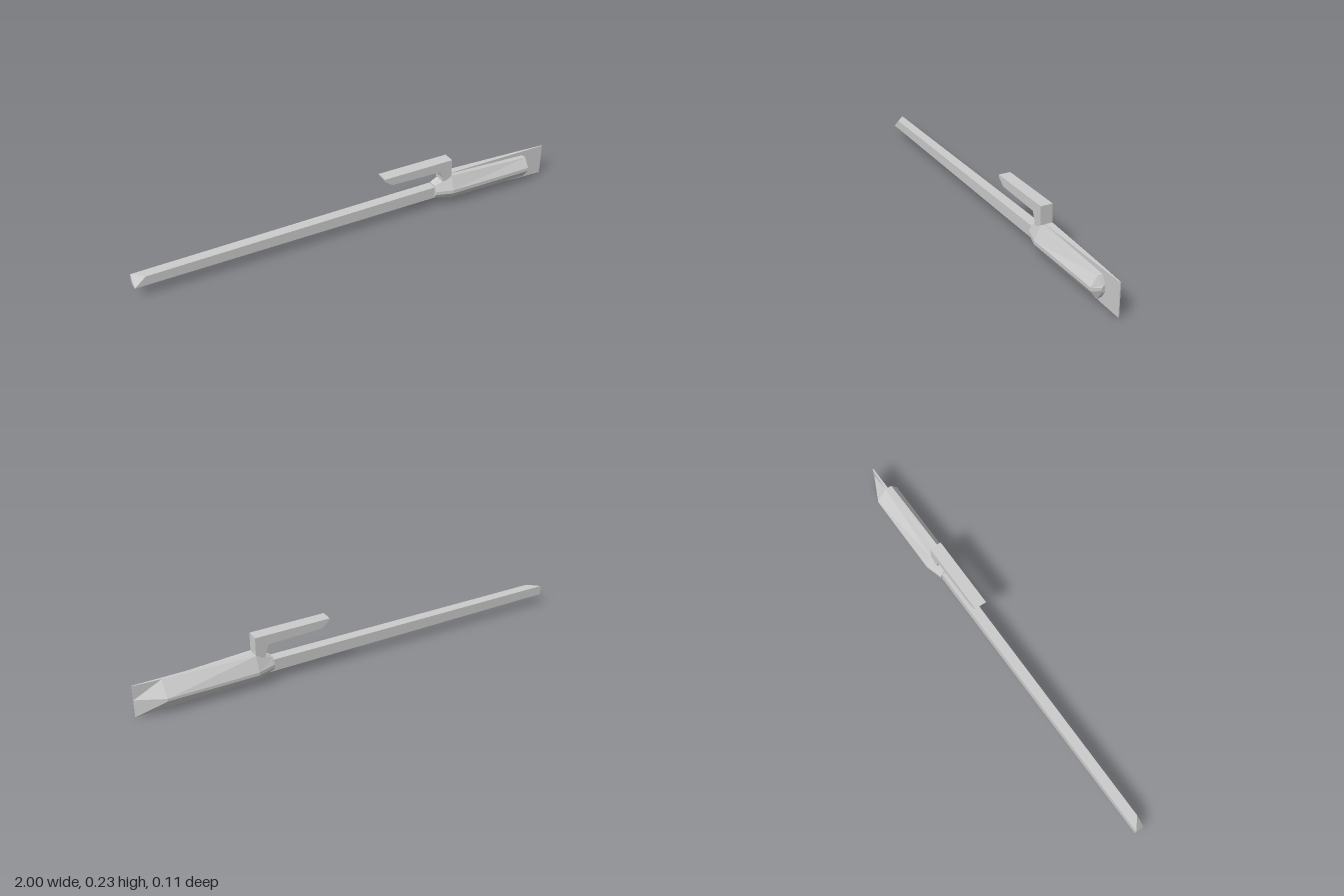
import * as THREE from 'three';

const material = new THREE.MeshStandardMaterial({ color: 0xcccccc, flatShading: true, side: THREE.DoubleSide });

// Skins a row of cross-sections, each given as corners [x, y, z], and caps both ends.
function loft(name, sections) {
  const n = sections[0].length;
  const last = (sections.length - 1) * n;
  const index = [];
  for (let i = 0; i < sections.length - 1; i++) {
    for (let j = 0; j < n; j++) {
      const a = i * n + j, b = i * n + (j + 1) % n;
      index.push(a, a + n, b + n, a, b + n, b);
    }
  }
  for (let j = 1; j < n - 1; j++) {
    index.push(0, j, j + 1);
    index.push(last, last + j + 1, last + j);
  }
  const geometry = new THREE.BufferGeometry();
  geometry.setAttribute('position', new THREE.Float32BufferAttribute(sections.flat(2), 3));
  geometry.setIndex(index);
  const flat = geometry.toNonIndexed();
  flat.computeVertexNormals();
  const mesh = new THREE.Mesh(flat, material);
  mesh.name = name;
  return mesh;
}

// Places a [y, z] outline at a given x.
const at = (x, outline) => outline.map(([y, z]) => [x, y, z]);

export function createModel() {
  const group = new THREE.Group();

  // Long square bar with one corner of its tip cut off
  group.add(loft('longBar', [
    [[-1, 0.055, 0.02], [-0.95, 0.098, 0.02], [-1, 0.098, -0.024], [-1, 0.055, -0.024]],
    at(0.42, [[0.05, 0.02], [0.105, 0.02], [0.105, -0.027], [0.05, -0.027]]),
  ]));

  // Front shell of the grip, faceted with a blunt end
  group.add(loft('frontGripShell', [
    at(0.4, [[0.05, 0], [0.05, 0.02], [0.07, 0.032], [0.085, 0.032], [0.112, 0.02], [0.112, 0]]),
    at(0.48, [[0.032, 0], [0.03, 0.028], [0.068, 0.055], [0.085, 0.055], [0.146, 0.028], [0.144, 0]]),
    at(0.89, [[0.03, 0], [0.026, 0.028], [0.066, 0.055], [0.082, 0.055], [0.125, 0.028], [0.125, 0]]),
    at(0.91, [[0.06, 0], [0.06, 0.012], [0.068, 0.02], [0.08, 0.02], [0.088, 0.012], [0.088, 0]]),
  ]));

  // Back shell of the grip, tapering to an upright edge
  group.add(loft('backGripShell', [
    at(0.4, [[0.045, 0.005], [0.112, 0.005], [0.112, -0.02], [0.085, -0.034], [0.07, -0.034], [0.05, -0.02]]),
    at(0.48, [[0.027, 0.005], [0.146, 0.005], [0.146, -0.028], [0.082, -0.056], [0.068, -0.056], [0.03, -0.028]]),
    at(0.88, [[0.004, 0.005], [0.146, 0.005], [0.146, -0.007], [0.08, -0.056], [0.068, -0.056], [0.024, -0.029]]),
    at(1, [[0, 0.005], [0.146, 0.005], [0.146, 0.001], [0.08, 0.001], [0.068, 0.001], [0, 0.001]]),
  ]));

  // Bent arm standing on the grip, with a slanted tip
  const profile = new THREE.Shape([
    [0.48, 0.13], [0.48, 0.229], [0.135, 0.229], [0.14, 0.215], [0.175, 0.19],
    [0.42, 0.184], [0.435, 0.147], [0.435, 0.13],
  ].map(([x, y]) => new THREE.Vector2(x, y)));
  const arm = new THREE.Mesh(
    new THREE.ExtrudeGeometry(profile, { depth: 0.055, bevelEnabled: false }), material);
  arm.name = 'bentArm';
  arm.position.z = -0.027;
  group.add(arm);

  return group;
}
